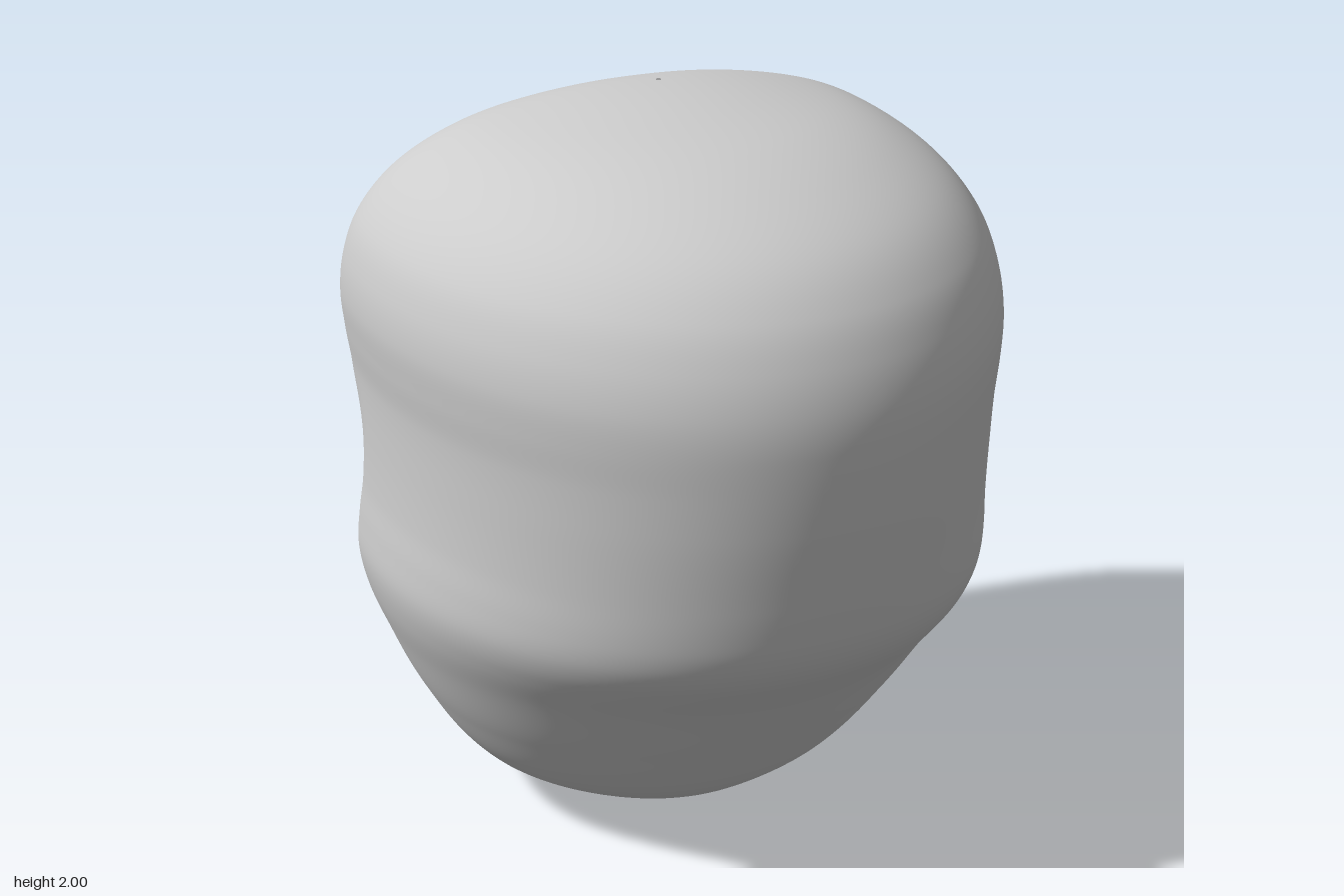
import * as THREE from 'three';

// Height eased so that rows crowd together towards the crown
const toV = (y) => Math.asin(Math.min(y, 2) / 2) * 2 / Math.PI;
const toY = (v) => 2 * Math.sin(v * Math.PI / 2);

// Smooth curve through [height, value] pairs
function profile(pairs) {
  const t = pairs.map((p) => toV(p[0]));
  const f = pairs.map((p) => p[1]);
  const last = t.length - 1;
  const slope = t.map((_, i) => {
    const a = Math.max(i - 1, 0), b = Math.min(i + 1, last);
    return (f[b] - f[a]) / (t[b] - t[a]);
  });
  return (v) => {
    let i = 0;
    while (i < last - 1 && v > t[i + 1]) i++;
    const h = t[i + 1] - t[i];
    const u = (v - t[i]) / h, u2 = u * u, u3 = u2 * u;
    return f[i] * (2 * u3 - 3 * u2 + 1) + f[i + 1] * (3 * u2 - 2 * u3)
      + h * (slope[i] * (u3 - 2 * u2 + u) + slope[i + 1] * (u3 - u2));
  };
}

// Half width of the head
const halfWidth = profile([
  [0, 0.08], [0.05, 0.27], [0.1, 0.42], [0.2, 0.57], [0.4, 0.70], [0.6, 0.785], [0.7, 0.82], [0.8, 0.838],
  [0.9, 0.832], [1.0, 0.82], [1.15, 0.812], [1.3, 0.812], [1.4, 0.823], [1.5, 0.83], [1.6, 0.817],
  [1.7, 0.78], [1.8, 0.70], [1.88, 0.59], [1.93, 0.48], [1.97, 0.32], [2, 0.006],
]);

// Back of the skull
const back = profile([
  [0, 0.12], [0.1, 0.27], [0.2, 0.38], [0.4, 0.535], [0.6, 0.685], [0.7, 0.775], [0.75, 0.818], [0.8, 0.85],
  [0.85, 0.871], [0.9, 0.884], [1.0, 0.902], [1.2, 0.93], [1.4, 0.943], [1.5, 0.935], [1.6, 0.905],
  [1.7, 0.85], [1.8, 0.75], [1.88, 0.60], [1.945, 0.40], [1.98, 0.18], [2, -0.114],
]);

// Face beside the midline: chin, lips, cheeks, sockets, brow
const face = profile([
  [0, -0.32], [0.05, -0.46], [0.1, -0.555], [0.15, -0.605], [0.2, -0.62], [0.27, -0.59], [0.34, -0.56],
  [0.4, -0.585], [0.45, -0.605], [0.5, -0.585], [0.56, -0.565], [0.62, -0.56], [0.68, -0.565], [0.74, -0.59],
  [0.8, -0.60], [0.86, -0.58], [0.92, -0.54], [1.0, -0.49], [1.1, -0.465], [1.17, -0.485], [1.22, -0.55],
  [1.27, -0.612], [1.31, -0.625], [1.36, -0.62], [1.45, -0.617], [1.5, -0.615], [1.6, -0.60], [1.7, -0.57],
  [1.8, -0.515], [1.9, -0.405], [1.96, -0.30], [2, -0.126],
]);

// Outer face, where the lip and chin creases have faded into the jaw
const outerFace = profile([
  [0, -0.32], [0.05, -0.45], [0.1, -0.53], [0.2, -0.575], [0.34, -0.575], [0.56, -0.57], [0.8, -0.575],
  [0.9, -0.545], [1.0, -0.50], [1.1, -0.48], [1.18, -0.51], [1.3, -0.60], [1.45, -0.615], [1.6, -0.60],
  [1.7, -0.57], [1.8, -0.515], [1.9, -0.405], [1.96, -0.30], [2, -0.126],
]);

// Midline, including the nose
const midline = profile([
  [0, -0.32], [0.05, -0.46], [0.1, -0.57], [0.15, -0.63], [0.2, -0.65], [0.25, -0.635], [0.3, -0.60],
  [0.35, -0.585], [0.4, -0.625], [0.45, -0.65], [0.5, -0.63], [0.55, -0.592], [0.6, -0.60], [0.65, -0.68],
  [0.7, -0.80], [0.75, -0.90], [0.8, -0.94], [0.85, -0.89], [0.9, -0.80], [0.95, -0.72], [1.0, -0.665],
  [1.1, -0.605], [1.15, -0.59], [1.2, -0.61], [1.25, -0.66], [1.3, -0.687], [1.35, -0.665], [1.4, -0.65],
  [1.5, -0.635], [1.6, -0.612], [1.7, -0.58], [1.8, -0.525], [1.9, -0.405], [1.96, -0.30], [2, -0.126],
]);

// Spread of the midline relief
const spread = profile([
  [0, 0.25], [0.45, 0.25], [0.6, 0.18], [0.7, 0.16], [0.9, 0.16], [1.1, 0.14], [1.3, 0.16], [1.5, 0.2], [2, 0.2],
]);

// Squareness of the front half
const squareness = profile([
  [0, 2.6], [0.1, 3], [0.3, 2.7], [0.6, 2.5], [1, 2.4], [1.15, 2.45], [1.3, 2.8], [1.7, 2.7], [2, 2.2],
]);

const CENTRE_Z = -0.12;

// Point on the head surface at angle a and eased height v
function headPoint(a, v) {
  const c = Math.cos(a), s = Math.sin(a);
  const n = s < 0 ? squareness(v) : 2;
  const k = Math.pow(Math.abs(c) ** n + Math.abs(s) ** n, -1 / n);
  const x = halfWidth(v) * c * k;
  if (s >= 0) return [x, toY(v), CENTRE_Z + (back(v) - CENTRE_Z) * s * k];
  const inner = Math.exp(-((x / 0.47) ** 4));
  const front = THREE.MathUtils.lerp(outerFace(v), face(v), inner);
  const relief = (midline(v) - face(v)) * Math.exp(-((Math.abs(x) / spread(v)) ** 1.7));
  return [x, toY(v), CENTRE_Z + (CENTRE_Z - front) * s * k + relief * Math.min(1, -s * 3)];
}

// Eye openings, mirrored in x
const inEye = (x, y, z) => z < -0.2
  && (Math.abs(Math.abs(x) - 0.368) / 0.21) ** 2.2 + (Math.abs(y - 1.12) / 0.125) ** 2.2 < 1;

function headGeometry(rows = 200, segments = 264) {
  const position = [], index = [];
  for (let r = 0; r <= rows; r++) {
    for (let i = 0; i < segments; i++) {
      position.push(...headPoint(i / segments * Math.PI * 2, r / rows));
    }
  }
  const mean = (tri, axis) => tri.reduce((sum, p) => sum + position[p * 3 + axis], 0) / 3;
  for (let r = 0; r < rows; r++) {
    for (let i = 0; i < segments; i++) {
      const a = r * segments + i, b = r * segments + (i + 1) % segments;
      for (const tri of [[a, a + segments, b], [b, a + segments, b + segments]]) {
        if (!inEye(mean(tri, 0), mean(tri, 1), mean(tri, 2))) index.push(...tri);
      }
    }
  }
  const geometry = new THREE.BufferGeometry();
  geometry.setAttribute('position', new THREE.Float32BufferAttribute(position, 3));
  geometry.setIndex(index);
  geometry.computeVertexNormals();
  return geometry;
}

export function createModel() {
  const group = new THREE.Group();
  group.name = 'hollowHead';

  // Thin open shell, visible inside through the eyes and the neck opening
  const grey = new THREE.MeshStandardMaterial({ color: 0xcccccc, side: THREE.DoubleSide });
  grey.name = 'grey';
  const head = new THREE.Mesh(headGeometry(), grey);
  head.name = 'headShell';
  group.add(head);
  return group;
}
